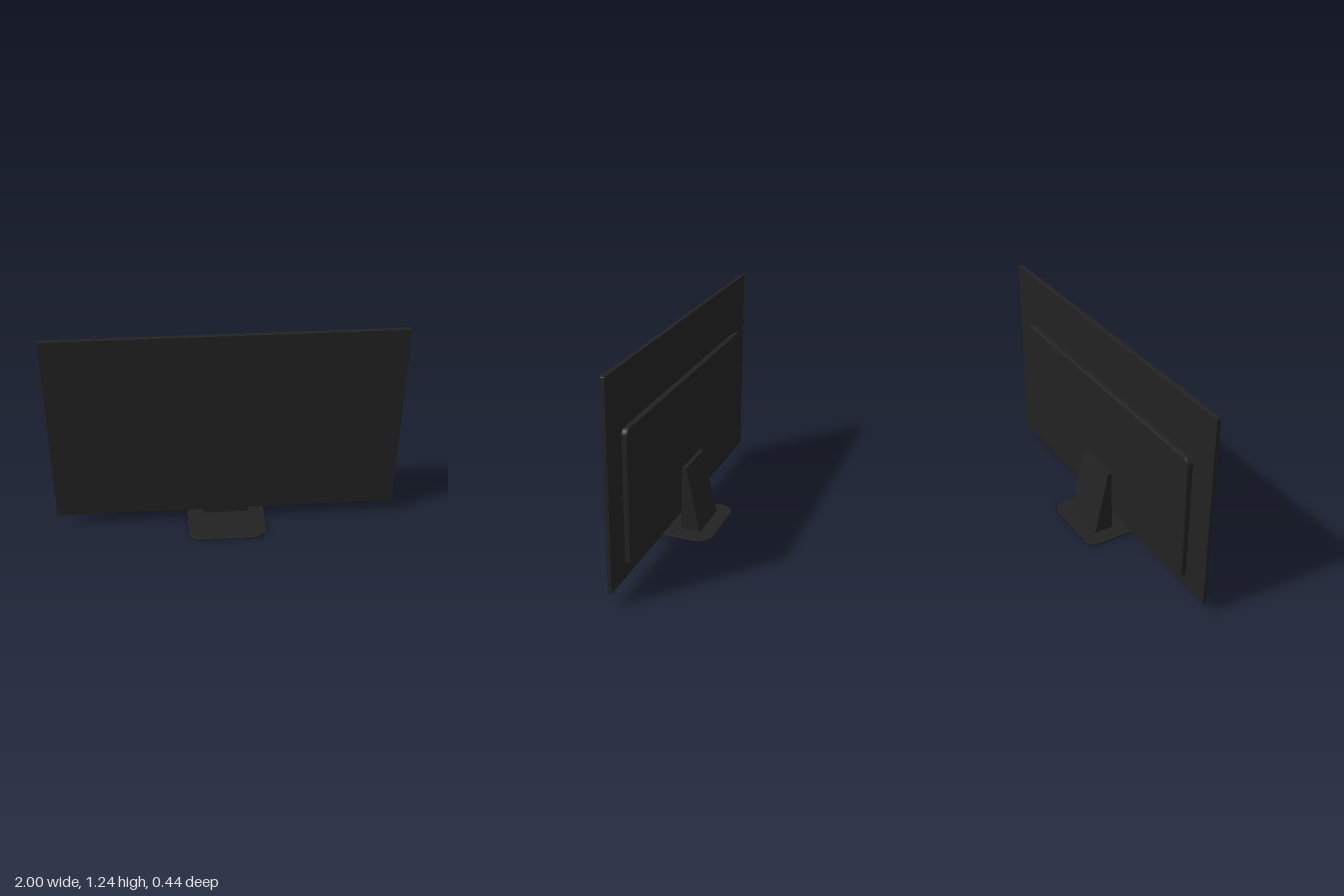
import * as THREE from 'three';

// Rounded rectangle outline centred on the origin
function roundedRect(w, h, r) {
  const x = w / 2, y = h / 2;
  const s = new THREE.Shape();
  s.moveTo(-x + r, -y);
  s.lineTo(x - r, -y);
  s.absarc(x - r, -y + r, r, -Math.PI / 2, 0);
  s.absarc(x - r, y - r, r, 0, Math.PI / 2);
  s.absarc(-x + r, y - r, r, Math.PI / 2, Math.PI);
  s.absarc(-x + r, -y + r, r, Math.PI, Math.PI * 1.5);
  return s;
}

// Rounded slab of full size w x h x d with bevelled rims, from z = 0 to z = d
function slab(w, h, d, r, bevel) {
  const g = new THREE.ExtrudeGeometry(roundedRect(w - 2 * bevel, h - 2 * bevel, r), {
    depth: d - 2 * bevel, bevelEnabled: true, bevelThickness: bevel,
    bevelSize: bevel, bevelSegments: 2, curveSegments: 8,
  });
  return g.translate(0, 0, bevel);
}

export function createModel() {
  const model = new THREE.Group();
  const casing = new THREE.MeshStandardMaterial({ color: 0x222222 });
  casing.name = 'black casing';

  const add = (name, geometry, x, y, z) => {
    const mesh = new THREE.Mesh(geometry, casing);
    mesh.name = name;
    mesh.position.set(x, y, z);
    model.add(mesh);
    return mesh;
  };

  // Thin display panel
  add('screenPanel', slab(2, 1.16, 0.025, 0.004, 0.003), 0, 0.662, 0.005);

  // Electronics housing on the back, its front rim sunk into the panel
  add('rearHousing', slab(1.68, 0.77, 0.044, 0.03, 0.008), 0, 0.534, -0.027);

  // Wedge-shaped stand, side profile in (-z, y)
  const side = new THREE.Shape([
    [0.022, 0.008], [0.138, 0.008], [0.051, 0.403], [0.022, 0.403],
  ].map(([z, y]) => new THREE.Vector2(z, y)));
  const wedge = new THREE.ExtrudeGeometry(side, { depth: 0.274, bevelEnabled: false });
  wedge.translate(0, 0, -0.137).rotateY(Math.PI / 2);
  add('standNeck', wedge, 0, 0, 0);

  // Flat base plate with rounded corners
  const base = slab(0.46, 0.444, 0.012, 0.078, 0.002).rotateX(-Math.PI / 2);
  add('standBase', base, 0, 0, 0);

  return model;
}
